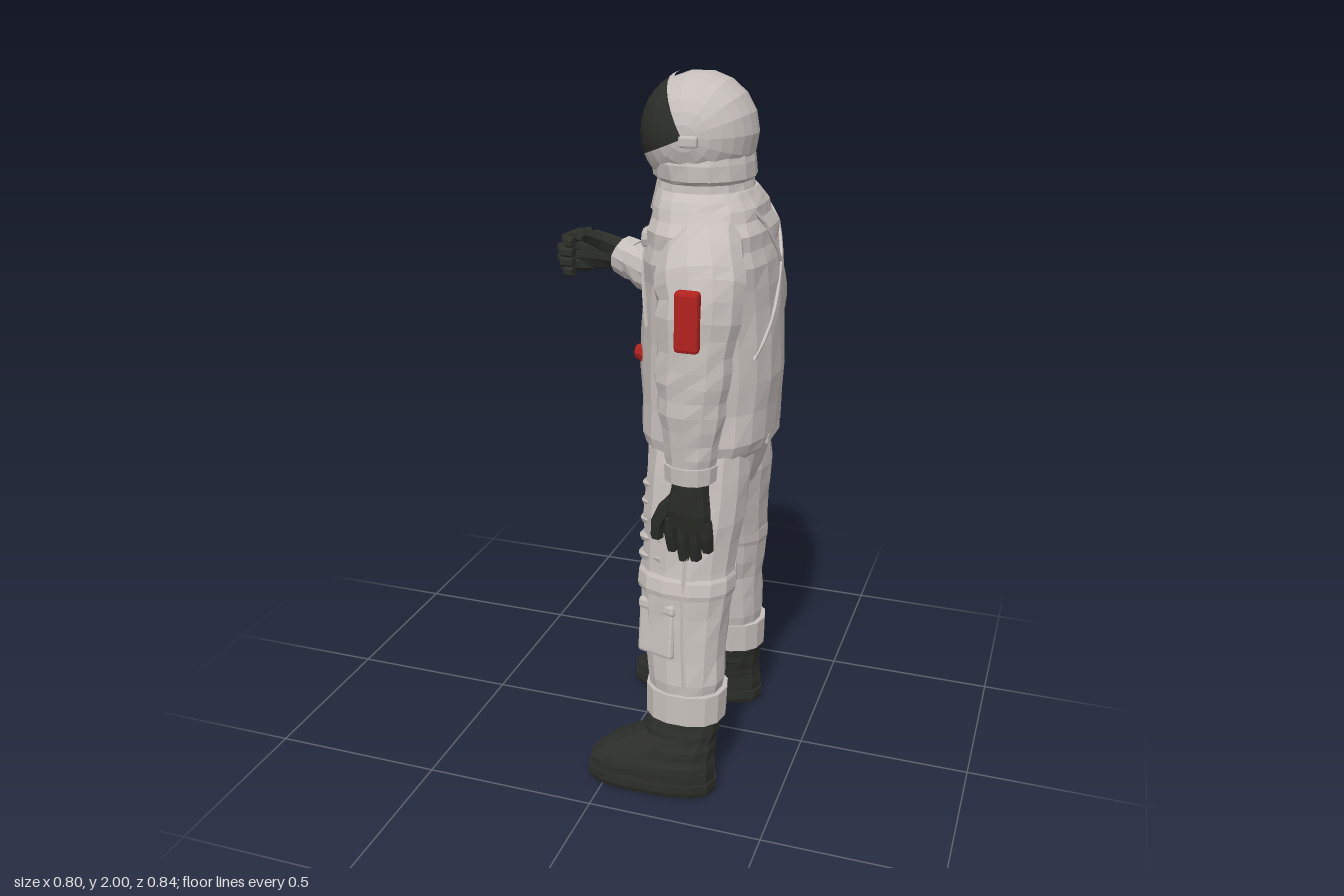
import * as THREE from 'three';
import { RoundedBoxGeometry } from 'three/addons/geometries/RoundedBoxGeometry.js';

const mat = (color) => new THREE.MeshStandardMaterial({ color, flatShading: true });
const V = (x, y, z) => new THREE.Vector3(x, y, z);

// Small seeded generator for cloth creases
let seed = 7;
const rand = () => ((seed = (seed * 16807) % 2147483647) / 2147483647) * 2 - 1;

// Skin over rings [x, y, z, ru, rv]; flat keeps rings level, sub adds creased rings in between
function loft(rings, { n = 12, e = 2, flat = false, sub = 1, crease = 0 } = {}) {
  const rows = [];
  rings.forEach((r, i) => {
    rows.push(r);
    const next = rings[i + 1];
    if (next) for (let k = 1; k < sub; k++) rows.push(r.map((a, c) => a + (next[c] - a) * k / sub));
  });
  const at = (i) => V(...rows[Math.min(Math.max(i, 0), rows.length - 1)].slice(0, 3));
  const pos = [], idx = [], last = rows.length - 1;
  rows.forEach(([x, y, z, ru, rv], i) => {
    const t = flat ? V(0, 1, 0) : at(i + 1).sub(at(i - 1)).normalize();
    const u = V(0, 0, 1).cross(t).normalize(), v = t.clone().cross(u);
    const fold = crease * rand();
    for (let j = 0; j < n; j++) {
      const a = (j / n) * Math.PI * 2, c = Math.cos(a), s = Math.sin(a);
      const d = fold + crease * 0.7 * rand();
      const p = V(x, y, z)
        .addScaledVector(u, Math.sign(c) * Math.abs(c) ** (2 / e) * (ru + d))
        .addScaledVector(v, Math.sign(s) * Math.abs(s) ** (2 / e) * (rv + d));
      pos.push(p.x, p.y, p.z);
      if (i < last) {
        const q = i * n + j, w = i * n + (j + 1) % n;
        idx.push(q, w, w + n, q, w + n, q + n);
      }
    }
  });
  const c0 = pos.length / 3;
  pos.push(...at(0).toArray(), ...at(last).toArray());
  for (let j = 0; j < n; j++) {
    const k = (j + 1) % n;
    idx.push(c0, k, j, c0 + 1, last * n + j, last * n + k);
  }
  const g = new THREE.BufferGeometry();
  g.setAttribute('position', new THREE.Float32BufferAttribute(pos, 3));
  g.setIndex(idx);
  g.computeVertexNormals();
  return g;
}

const JACKET = [
  [0.21, 0.97, 0.045, 0.16, 0.215], [0.212, 1.03, 0.045, 0.18, 0.222], [0.212, 1.2, 0.04, 0.192, 0.215],
  [0.212, 1.4, 0.045, 0.187, 0.22], [0.212, 1.52, 0.05, 0.176, 0.235], [0.21, 1.6, 0.05, 0.16, 0.23],
  [0.2, 1.66, 0.05, 0.145, 0.18], [0.19, 1.7, 0.05, 0.13, 0.15]];
const JACKET_E = 2.4;

// Point on the jacket surface: side +1 is the back, -1 the chest
function onJacket(y, z, side) {
  let i = 0;
  while (i < JACKET.length - 2 && JACKET[i + 1][1] < y) i++;
  const a = JACKET[i], b = JACKET[i + 1], k = (y - a[1]) / (b[1] - a[1]);
  const [cx, , cz, rx, rz] = a.map((s, c) => s + (b[c] - s) * k);
  const d = Math.min(1, Math.abs((z - cz) / rz));
  return V(cx + side * rx * (1 - d ** JACKET_E) ** (1 / JACKET_E), y, z);
}

export function createModel() {
  seed = 7;
  const root = new THREE.Group();
  const suit = mat(0xc6bfbb), dark = mat(0x2c2e29), red = mat(0xb3221f);
  const add = (name, geo, material = suit, parent = root) => {
    const m = new THREE.Mesh(geo, material);
    m.name = name;
    parent.add(m);
    return m;
  };
  const group = (name) => {
    const g = new THREE.Group();
    g.name = name;
    root.add(g);
    return g;
  };
  const tube = (pts, r) => new THREE.TubeGeometry(new THREE.CatmullRomCurve3(pts), 10, r, 5);

  // Helmet, visor and collar
  const helmet = group('helmet');
  const lune = (r, from, len) => new THREE.SphereGeometry(r, 8, 14, from, len).rotateX(Math.PI / 2);
  const dome = add('helmetDome', new THREE.SphereGeometry(1, 18, 14).rotateX(Math.PI / 2), suit, helmet);
  const visor = add('visor', lune(1.035, -1.08, 1.5), dark, helmet);
  const brim = add('visorBrim', lune(1.045, -1.18, 0.11), suit, helmet);
  const chin = add('visorChin', lune(1.04, 0.4, 0.4), suit, helmet);
  for (const m of [dome, visor, brim, chin]) {
    m.position.set(0.17, 1.842, 0.05);
    m.scale.set(0.154, 0.156, 0.165);
  }
  for (const s of [1, -1]) {
    add('visorHinge', new RoundedBoxGeometry(0.05, 0.03, 0.02, 1, 0.006), suit, helmet)
      .position.set(0.185, 1.835, 0.05 + s * 0.165);
  }
  add('collar', loft([[0.185, 1.64, 0.05, 0.15, 0.165], [0.185, 1.69, 0.05, 0.137, 0.153], [0.185, 1.72, 0.05, 0.13, 0.147],
    [0.185, 1.73, 0.05, 0.138, 0.155], [0.18, 1.77, 0.05, 0.138, 0.153], [0.18, 1.8, 0.05, 0.132, 0.146]], { n: 16, flat: true, crease: 0.003 }));

  // Jacket and hips
  add('jacket', loft(JACKET, { n: 20, e: JACKET_E, flat: true, sub: 2, crease: 0.004 }));
  add('hips', loft([[0.21, 0.82, 0.045, 0.07, 0.025], [0.21, 0.87, 0.045, 0.125, 0.12], [0.21, 0.93, 0.045, 0.15, 0.225],
    [0.21, 1.0, 0.045, 0.165, 0.222]], { n: 16, e: 2.4, flat: true, crease: 0.003 }));

  // Crossed back straps and front closure
  const seam = (name, y0, z0, y1, z1, side) => {
    const pts = Array.from({ length: 9 }, (_, i) => onJacket(y0 + (y1 - y0) * i / 8, z0 + (z1 - z0) * i / 8, side));
    add(name, tube(pts, 0.006));
  };
  seam('backStrap', 1.66, 0.13, 1.27, -0.14, 1);
  seam('backStrap', 1.66, -0.1, 1.27, 0.19, 1);
  seam('frontClosure', 1.64, 0.05, 1.0, 0.05, -1);
  for (const s of [1, -1]) seam('chestSeam', 1.58, 0.05 + s * 0.12, 1.34, 0.05 + s * 0.16, -1);
  add('backTab', new RoundedBoxGeometry(0.02, 0.035, 0.14, 1, 0.008)).position.set(0.381, 1.015, 0.035);

  // Chest fittings
  for (const z of [-0.01, 0.13]) {
    const p = onJacket(1.24, z, -1);
    add('hosePort', new THREE.CylinderGeometry(0.018, 0.034, 0.03, 8).rotateZ(Math.PI / 2), red).position.copy(p);
  }
  for (const z of [-0.06, 0.16]) {
    add('chestRing', new THREE.TorusGeometry(0.024, 0.008, 5, 10).rotateY(Math.PI / 2)).position.copy(onJacket(1.57, z, -1));
  }

  // Arms: left hangs down, right reaches forward
  add('leftArm', loft([[0.22, 1.575, 0.17, 0.105, 0.08], [0.235, 1.54, 0.265, 0.118, 0.092], [0.25, 1.45, 0.312, 0.118, 0.088],
    [0.245, 1.32, 0.33, 0.105, 0.077], [0.24, 1.2, 0.336, 0.095, 0.067], [0.24, 1.08, 0.34, 0.08, 0.063],
    [0.24, 0.97, 0.34, 0.067, 0.057]], { sub: 3, crease: 0.005 }));
  add('rightArm', loft([[0.2, 1.58, -0.09, 0.105, 0.085], [0.2, 1.535, -0.185, 0.112, 0.088], [0.19, 1.44, -0.245, 0.11, 0.085],
    [0.16, 1.35, -0.258, 0.1, 0.084], [0.1, 1.315, -0.262, 0.09, 0.086], [0, 1.33, -0.29, 0.083, 0.08],
    [-0.1, 1.36, -0.325, 0.07, 0.07], [-0.2, 1.385, -0.365, 0.057, 0.057]], { sub: 2, crease: 0.005 }));
  add('leftCuff', loft([[0.24, 1.02, 0.34, 0.074, 0.063], [0.24, 0.975, 0.34, 0.071, 0.061]]));
  add('rightCuff', loft([[-0.155, 1.372, -0.35, 0.066, 0.063], [-0.2, 1.385, -0.365, 0.061, 0.06]]));
  add('leftSleevePatch', new RoundedBoxGeometry(0.065, 0.16, 0.035, 1, 0.01), red).position.set(0.245, 1.42, 0.4);
  const patch = add('rightSleevePatch', new RoundedBoxGeometry(0.07, 0.13, 0.03, 1, 0.01), red);
  patch.position.set(0.145, 1.455, -0.315);
  patch.rotation.set(0.25, 0.12, -0.25);

  // Gloves: palm, four fingers and thumb
  const finger = (name, pts, r, parent) => add(name, loft(pts.map((p, i) => [...p, r * (1 - 0.09 * i), r * (1 - 0.09 * i)]), { n: 6 }), dark, parent);
  const leftHand = group('leftGlove'), rightHand = group('rightGlove');
  add('leftPalm', loft([[0.24, 1.0, 0.34, 0.05, 0.045], [0.24, 0.94, 0.34, 0.052, 0.04], [0.235, 0.88, 0.337, 0.062, 0.036],
    [0.232, 0.83, 0.33, 0.06, 0.03]], { n: 10 }), dark, leftHand);
  add('rightPalm', loft([[-0.18, 1.38, -0.36, 0.05, 0.052], [-0.23, 1.388, -0.365, 0.053, 0.048], [-0.29, 1.392, -0.372, 0.062, 0.042],
    [-0.34, 1.392, -0.362, 0.058, 0.032]], { n: 10 }), dark, rightHand);
  for (let i = 0; i < 4; i++) {
    const k = i - 1.5, len = [0.09, 0.115, 0.11, 0.08][i];
    const x = 0.232 + k * 0.031, y = 1.392 - k * 0.03, curl = [0.015, 0, 0, 0.012][i];
    finger('leftFinger', [[x, 0.85, 0.332], [x + k * 0.003, 0.84 - len * 0.5, 0.324], [x + k * 0.002, 0.835 - len, 0.308]], 0.021, leftHand);
    finger('rightFinger', [[-0.31, y, -0.372], [-0.358 + curl, y, -0.347], [-0.38 + curl, y - 0.004, -0.305], [-0.365 + curl, y - 0.008, -0.28],
      [-0.33, y - 0.008, -0.275]], 0.025, rightHand);
  }
  finger('leftThumb', [[0.215, 0.92, 0.335], [0.165, 0.865, 0.325], [0.142, 0.82, 0.318], [0.137, 0.775, 0.31]], 0.025, leftHand);
  finger('rightThumb', [[-0.22, 1.41, -0.345], [-0.262, 1.435, -0.315], [-0.288, 1.455, -0.28], [-0.302, 1.465, -0.255]], 0.029, rightHand);

  // Trouser legs, mirrored about the body's middle at z = 0.045
  const LEG = [[0.213, 0.24, 0.265, 0.1, 0.088], [0.212, 0.34, 0.26, 0.106, 0.092], [0.203, 0.48, 0.243, 0.122, 0.1],
    [0.2, 0.6, 0.228, 0.134, 0.106], [0.203, 0.75, 0.196, 0.138, 0.12], [0.21, 0.87, 0.172, 0.146, 0.128], [0.21, 1.0, 0.155, 0.14, 0.11]];
  for (const s of [1, -1]) {
    const g = group(s > 0 ? 'leftLeg' : 'rightLeg');
    const side = (z) => 0.045 + s * (z - 0.045);
    const rings = (list) => list.map(([x, y, z, a, b]) => [x, y, side(z), a, b]);
    add('trouser', loft(rings(LEG), { n: 14, e: 2.3, flat: true, sub: 2, crease: 0.004 }), suit, g);
    add('trouserCuff', loft(rings([[0.215, 0.22, 0.267, 0.115, 0.097], [0.215, 0.31, 0.263, 0.117, 0.099]]), { n: 14, e: 2.3, flat: true }), suit, g);
    add('kneeBand', loft(rings([[0.2, 0.6, 0.228, 0.137, 0.109], [0.2, 0.615, 0.226, 0.141, 0.113], [0.2, 0.65, 0.218, 0.14, 0.113],
      [0.201, 0.66, 0.216, 0.135, 0.109]]), { n: 14, e: 2.3, flat: true }), suit, g);
    // Creases across the front of the thigh
    for (let i = 0; i < 5; i++) {
      const y = 0.69 + i * 0.05, z = 0.21 - i * 0.009;
      add('thighFold', tube([V(0.15, y + 0.015, side(z + 0.095)), V(0.08, y, side(z + 0.05)), V(0.07, y - 0.008, side(z - 0.01)),
        V(0.1, y + 0.004, side(z - 0.075))], 0.012), suit, g);
    }
    const pocket = add('shinPocket', new RoundedBoxGeometry(0.12, 0.15, 0.03, 1, 0.01), suit, g);
    pocket.position.set(0.142, 0.49, side(0.315));
    pocket.rotation.set(-s * 0.14, -s * 0.35, 0);
    const flap = add('pocketFlap', new RoundedBoxGeometry(0.125, 0.035, 0.036, 1, 0.01), suit, g);
    flap.position.set(0.142, 0.56, side(0.306));
    flap.rotation.copy(pocket.rotation);
    add('sideSeam', tube(LEG.slice(1, 6).map(([x, y, z, , b]) => V(x + 0.02, y, side(z + b - 0.002))), 0.006), suit, g);
  }

  // Boots with a thicker sole
  for (const [name, shift, ankle, foot, splay] of [['leftBoot', 0.043, 0.273, 0.325, 0.04], ['rightBoot', 0, -0.189, -0.207, 0]]) {
    const g = group(name);
    const ring = (x0, x1, y, w, k) => [(x0 + x1) / 2, y, ankle + (foot - ankle) * k, (x1 - x0) / 2, w];
    const front = (x) => x + shift;
    const parts = [
      add('bootUpper', loft([ring(front(-0.1), 0.315, 0.03, 0.078, 1), ring(front(-0.098), 0.318, 0.07, 0.08, 0.95), ring(front(-0.06), 0.315, 0.108, 0.08, 0.8),
        ring(front(0.01), 0.313, 0.14, 0.08, 0.6), ring(front(0.06), 0.315, 0.17, 0.08, 0.4), ring(0.105, 0.318, 0.2, 0.08, 0.2),
        ring(0.115, 0.318, 0.24, 0.08, 0)], { n: 14, e: 2.6, flat: true, sub: 2, crease: 0.002 }), dark, g),
      add('bootSole', loft([ring(front(-0.095), 0.318, 0, 0.076, 1), ring(front(-0.105), 0.322, 0.015, 0.082, 1), ring(front(-0.105), 0.322, 0.04, 0.083, 1)],
        { n: 14, e: 2.6, flat: true }), dark, g)];
    // Turn the toe outward by shearing sideways along the foot
    for (const { geometry } of parts) {
      const p = geometry.attributes.position;
      for (let i = 0; i < p.count; i++) p.setZ(i, p.getZ(i) + (0.22 - p.getX(i)) * splay * Math.max(0, 1 - p.getY(i) / 0.25));
      geometry.computeVertexNormals();
    }
  }
  return root;
}
